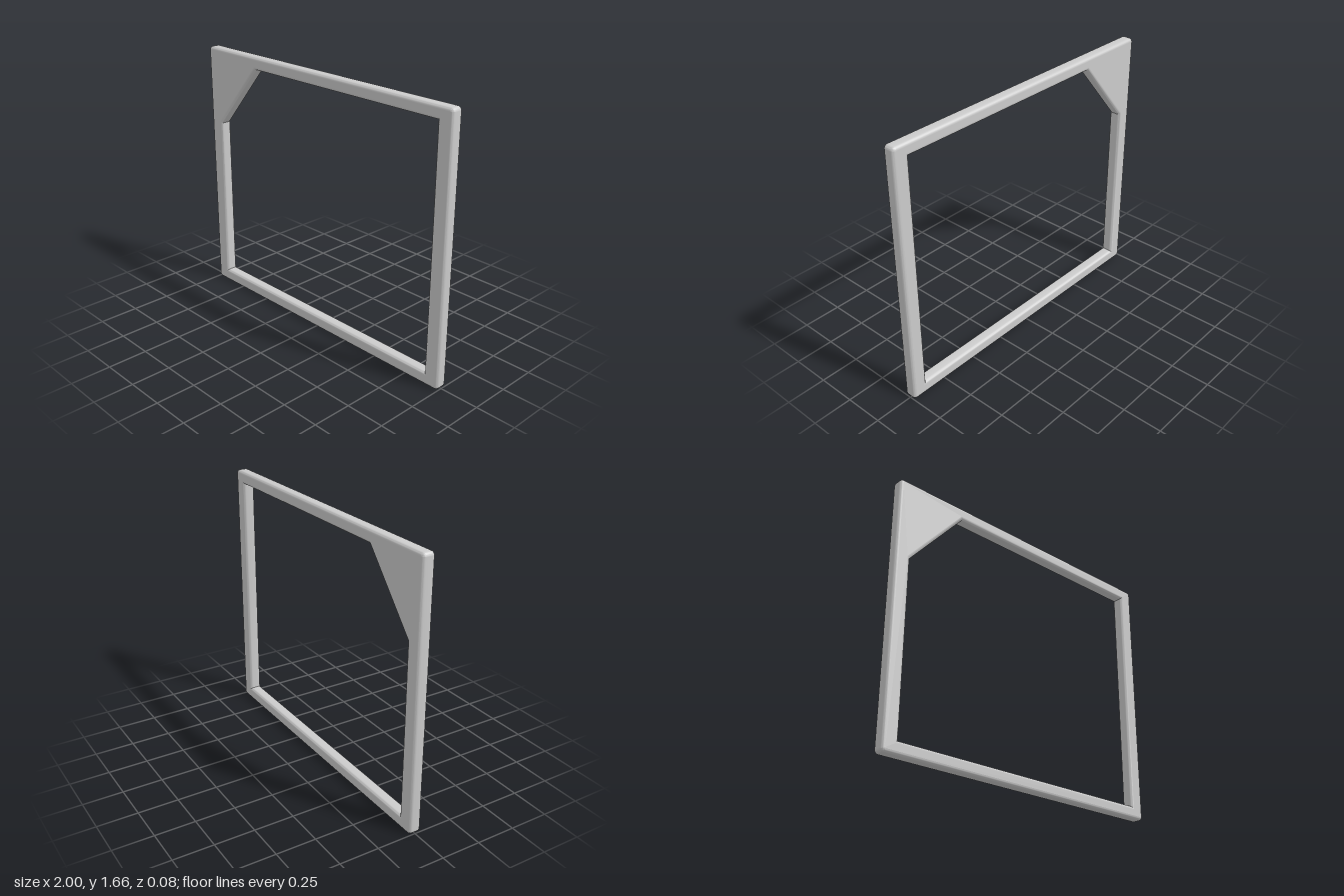
import * as THREE from 'three';
import { toCreasedNormals } from 'three/addons/utils/BufferGeometryUtils.js';

const W = 2, H = 1.66, DEPTH = 0.078, BEVEL = 0.02, CORNER = 0.024;

// Rectangle outline with small rounded corners
function outline() {
  const s = new THREE.Shape(), x = W / 2, r = CORNER;
  s.absarc(x - r, r, r, -Math.PI / 2, 0);
  s.absarc(x - r, H - r, r, 0, Math.PI / 2);
  s.absarc(-x + r, H - r, r, Math.PI / 2, Math.PI);
  s.absarc(-x + r, r, r, Math.PI, Math.PI * 1.5);
  s.closePath();
  return s;
}

// Opening with one corner cut off by the gusset
function opening() {
  return new THREE.Path([
    [-0.9, 0.08], [-0.9, 1.16], [-0.54, 1.58], [0.9, 1.58], [0.9, 0.08],
  ].map(([x, y]) => new THREE.Vector2(x, y)));
}

export function createModel() {
  const group = new THREE.Group();
  const shape = outline();
  shape.holes.push(opening());

  let geo = new THREE.ExtrudeGeometry(shape, {
    depth: DEPTH - 2 * BEVEL,
    bevelEnabled: true,
    bevelThickness: BEVEL,
    bevelSize: BEVEL,
    bevelOffset: -BEVEL,
    bevelSegments: 5,
    curveSegments: 5,
  });
  geo.translate(0, 0, -(DEPTH / 2 - BEVEL));
  const caps = geo.groups[0];
  geo = toCreasedNormals(geo, Math.PI / 5);

  // Keep the flat front and back faces evenly shaded
  const { position, normal } = geo.attributes;
  for (let i = caps.start; i < caps.start + caps.count; i++) {
    normal.setXYZ(i, 0, 0, Math.sign(position.getZ(i)));
  }
  geo.clearGroups();

  const frame = new THREE.Mesh(geo, new THREE.MeshStandardMaterial({ color: 0xcccccc }));
  frame.name = 'frameWithCornerGusset';
  group.add(frame);
  return group;
}
